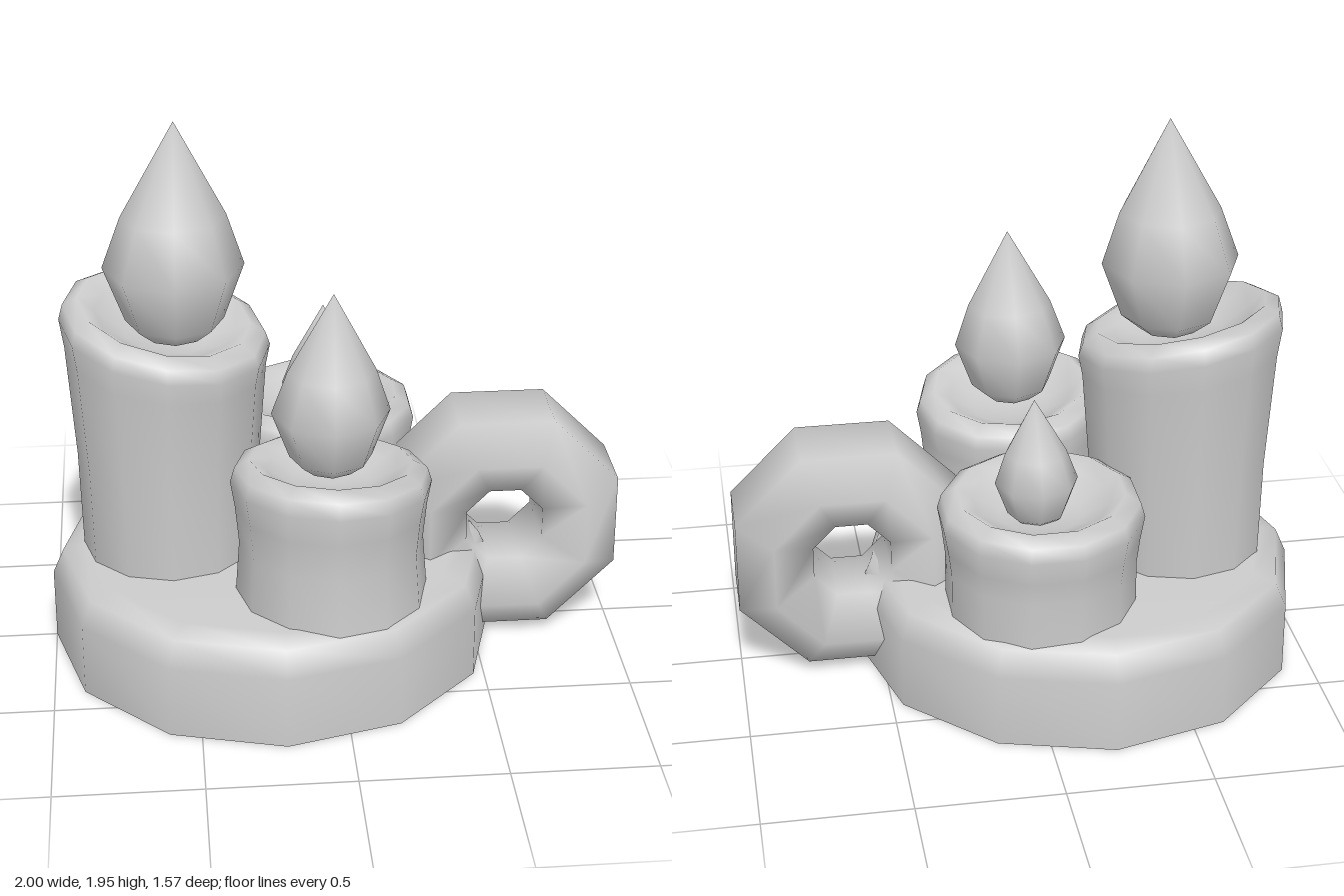
import * as THREE from 'three';
import { mergeVertices } from 'three/addons/utils/BufferGeometryUtils.js';

const material = new THREE.MeshStandardMaterial({ color: 0xcccccc });

// Lathe with welded seams; bend(position) may move each vertex before smoothing
function turned(name, profile, sides, phase = 0, bend = null) {
  let geo = new THREE.LatheGeometry(profile.map(([r, y]) => new THREE.Vector2(r, y)), sides, phase);
  geo.deleteAttribute('uv');
  geo.deleteAttribute('normal');
  geo = mergeVertices(geo, 1e-4);
  if (bend) {
    const p = geo.attributes.position;
    const v = new THREE.Vector3();
    for (let i = 0; i < p.count; i++) {
      bend(v.fromBufferAttribute(p, i));
      p.setXYZ(i, v.x, v.y, v.z);
    }
  }
  geo.computeVertexNormals();
  const mesh = new THREE.Mesh(geo, material);
  mesh.name = name;
  return mesh;
}

const FOOT = 0.35;

// Candle body with a slanted, dished top; slope = [per x, per z]
function candle(name, { x, z, top, foot, waist, rim, slope, phase }) {
  const h = top - FOOT;
  const profile = [
    [foot, FOOT], [waist, FOOT + h * 0.4], [rim - 0.015, top - 0.17], [rim, top - 0.08],
    [rim - 0.015, top - 0.03], [rim - 0.065, top], [rim - 0.12, top - 0.035],
    [rim * 0.4, top - 0.085], [0, top - 0.095],
  ];
  const mesh = turned(name, profile, 12, phase, (v) => {
    const k = Math.pow((v.y - FOOT) / h, 2);
    v.y += k * (slope[0] * v.x + slope[1] * v.z);
  });
  mesh.position.set(x, 0, z);
  return mesh;
}

// Eight-sided teardrop, tip leaning slightly by lean
function flame(name, { x, z, tip, r, lean }) {
  const wide = tip - r * 2.12;
  const profile = [
    [0, wide - r * 1.12], [r * 0.42, wide - r * 1.05], [r * 0.7, wide - r * 0.82],
    [r, wide], [r * 0.74, wide + r * 0.75], [0, tip],
  ];
  const mesh = turned(name, profile, 8, 0, (v) => {
    if (v.y > wide) v.x += lean * (v.y - wide) / (tip - wide);
  });
  mesh.position.set(x, 0, z);
  return mesh;
}

export function createModel() {
  const group = new THREE.Group();
  group.name = 'candleHolder';

  // Round tray with softened upper edge
  const tray = turned('tray', [
    [0.784, 0], [0.784, 0.26], [0.745, 0.35], [0.66, 0.37], [0, 0.37],
  ], 12);
  const underside = new THREE.Mesh(new THREE.CircleGeometry(0.784, 12).rotateX(Math.PI / 2), material);
  underside.name = 'trayUnderside';
  tray.position.x = underside.position.x = -0.216;
  group.add(tray, underside);

  // Ring handle: hexagonal section swept in eight segments
  const k = 1 / Math.cos(Math.PI / 8);
  const section = [
    [0.4, -0.13], [0.4, 0.13], [0.275, 0.228], [0.135, 0.13],
    [0.135, -0.13], [0.275, -0.228], [0.4, -0.13],
  ].map(([r, y]) => [r * k, y]);
  const handle = turned('handle', section, 8, Math.PI / 8);
  handle.rotation.x = Math.PI / 2;
  handle.position.set(0.6, 0.446, -0.003);
  group.add(handle);

  // Candles
  group.add(
    candle('tallCandle', { x: -0.575, z: -0.02, top: 1.255, foot: 0.31, waist: 0.318, rim: 0.36, slope: [-0.2, -0.12], phase: 0 }),
    candle('frontCandle', { x: -0.035, z: 0.355, top: 0.85, foot: 0.33, waist: 0.315, rim: 0.342, slope: [-0.05, 0.12], phase: 0 }),
    candle('backCandle', { x: -0.027, z: -0.345, top: 0.775, foot: 0.33, waist: 0.33, rim: 0.355, slope: [-0.01, 0.03], phase: Math.PI / 12 }),
  );

  // Flames
  group.add(
    flame('tallFlame', { x: -0.54, z: 0.022, tip: 1.945, r: 0.24, lean: 0.014 }),
    flame('frontFlame', { x: -0.035, z: 0.338, tip: 1.448, r: 0.2, lean: 0.01 }),
    flame('backFlame', { x: -0.013, z: -0.338, tip: 1.115, r: 0.142, lean: 0.008 }),
  );
  return group;
}
